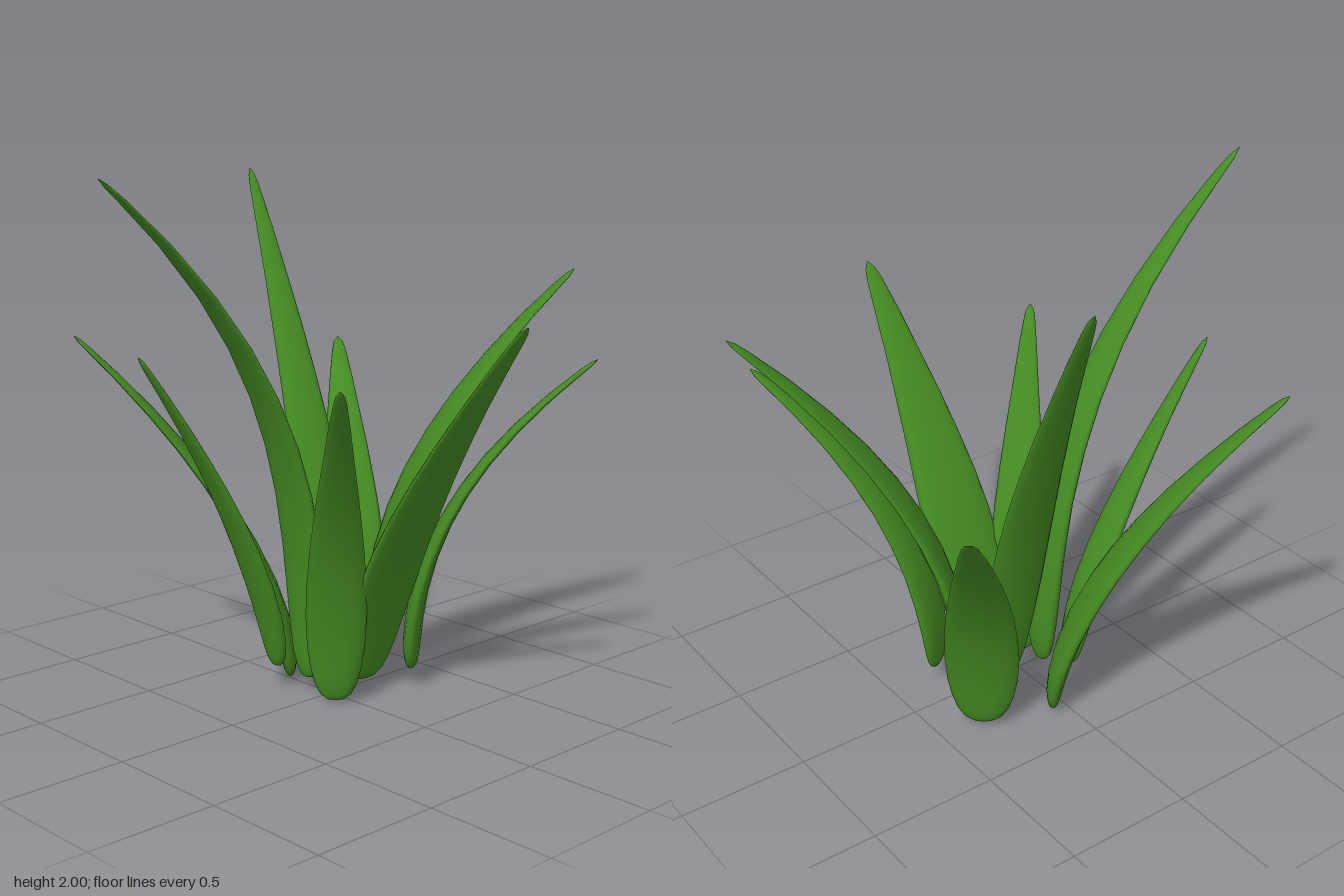
import * as THREE from 'three';

// base [x,y,z], tip [x,y,z], full width, bend (1 = straight, higher = curls out late)
const LEAVES = [
  { base: [0.03, 0.0, -0.27], tip: [-0.60, 1.37, -0.79], width: 0.29, bend: 1.75 },
  { base: [0.13, 0.08, -0.09], tip: [0.36, 1.97, -0.87], width: 0.21, bend: 1.45 },
  { base: [0.33, 0.02, -0.22], tip: [0.75, 1.24, -0.75], width: 0.28, bend: 2.0 },
  { base: [-0.11, 0.09, -0.19], tip: [-0.71, 1.36, -0.24], width: 0.16, bend: 1.5 },
  { base: [-0.06, 0.06, -0.07], tip: [-0.99, 2.00, -0.06], width: 0.205, bend: 2.7 },
  { base: [-0.06, 0.01, 0.09], tip: [-0.44, 1.30, 0.51], width: 0.23, bend: 2.0 },
  { base: [0.10, 0.06, 0.09], tip: [0.10, 1.50, 0.86], width: 0.32, bend: 1.5 },
  { base: [0.30, 0.07, 0.14], tip: [0.75, 1.30, 0.66], width: 0.26, bend: 2.3 },
  { base: [0.29, 0.06, -0.05], tip: [0.985, 1.60, 0.35], width: 0.32, bend: 2.2 },
];

// rise fraction, width factor, half thickness
const PROFILE = [
  [0, 0.02, 0.002], [0.004, 0.3, 0.014], [0.02, 0.52, 0.024], [0.05, 0.69, 0.031],
  [0.1, 0.84, 0.035], [0.17, 0.95, 0.036], [0.27, 1, 0.034], [0.38, 0.96, 0.03],
  [0.48, 0.88, 0.026], [0.58, 0.76, 0.022], [0.68, 0.63, 0.018], [0.78, 0.48, 0.015],
  [0.88, 0.34, 0.012], [0.96, 0.21, 0.009], [0.985, 0.14, 0.007], [1, 0.02, 0.001],
];
const SIDES = 14;

function leafGeometry({ base, tip, width, bend }) {
  const start = new THREE.Vector3(...base);
  const span = new THREE.Vector3(...tip).sub(start);
  const side = new THREE.Vector3(span.z, 0, -span.x).normalize();
  const positions = [], indices = [];

  // flattened oval cross-sections along a curve that bends outwards
  PROFILE.forEach(([t, w, thick], i) => {
    const out = Math.pow(t, bend);
    const slope = bend * Math.pow(t, bend - 1);
    const tangent = new THREE.Vector3(span.x * slope, span.y, span.z * slope).normalize();
    const normal = new THREE.Vector3().crossVectors(tangent, side);
    const centre = new THREE.Vector3(span.x * out, span.y * t, span.z * out).add(start);
    for (let j = 0; j < SIDES; j++) {
      const a = (j / SIDES) * Math.PI * 2;
      const p = centre.clone()
        .addScaledVector(side, Math.cos(a) * w * width / 2)
        .addScaledVector(normal, Math.sin(a) * thick);
      positions.push(p.x, p.y, p.z);
      if (i < PROFILE.length - 1) {
        const k = (j + 1) % SIDES, r = i * SIDES, s = r + SIDES;
        indices.push(r + j, r + k, s + k, r + j, s + k, s + j);
      }
    }
  });

  const geometry = new THREE.BufferGeometry();
  geometry.setAttribute('position', new THREE.Float32BufferAttribute(positions, 3));
  geometry.setIndex(indices);
  geometry.computeVertexNormals();
  return geometry;
}

export function createModel() {
  const plant = new THREE.Group();
  plant.name = 'plant';
  const green = new THREE.MeshStandardMaterial({ color: 0x458b22 });
  LEAVES.forEach((leaf, i) => {
    const mesh = new THREE.Mesh(leafGeometry(leaf), green);
    mesh.name = `leaf${i + 1}`;
    plant.add(mesh);
  });
  return plant;
}
